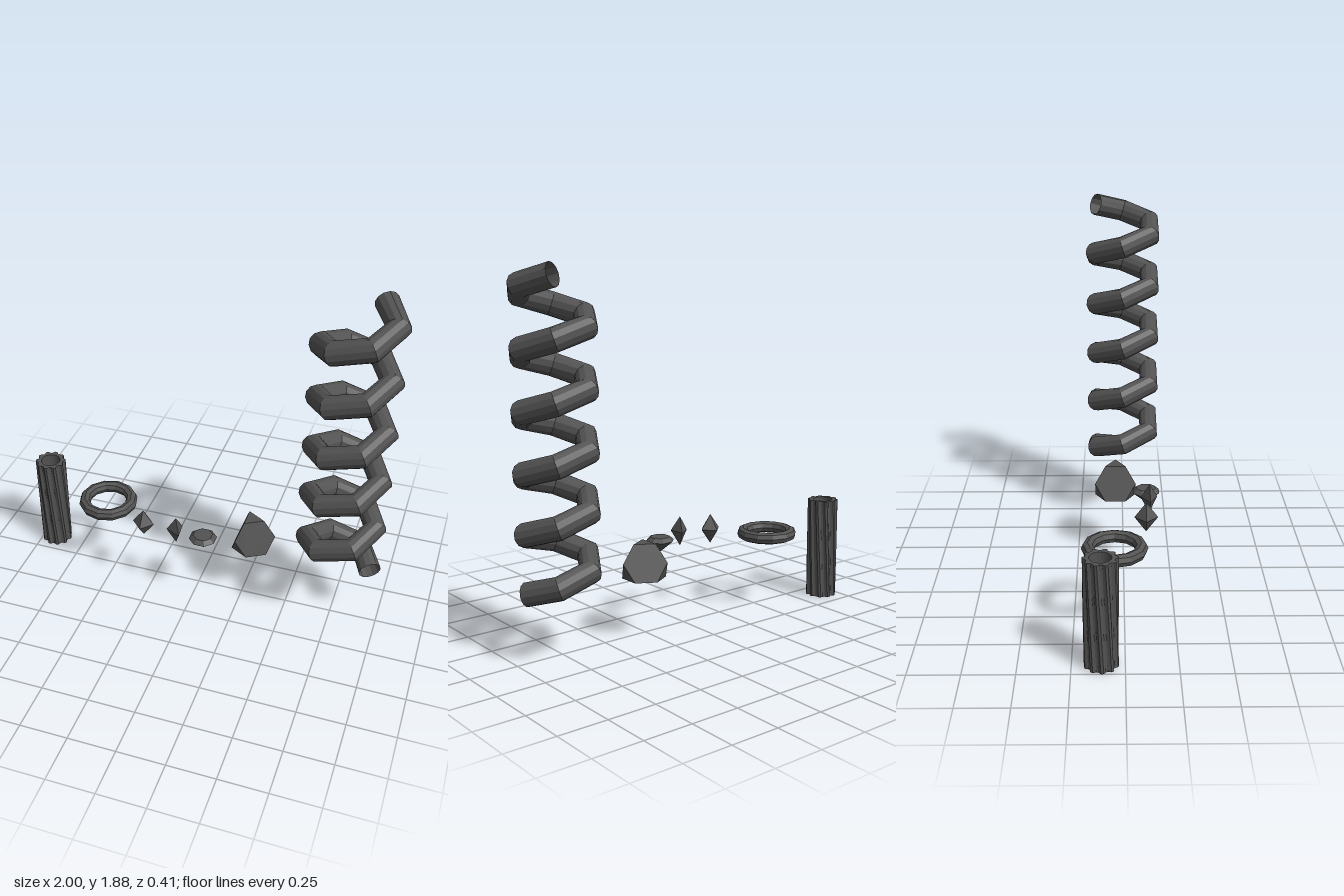
import * as THREE from 'three';
import { ConvexGeometry } from 'three/addons/geometries/ConvexGeometry.js';

const material = new THREE.MeshStandardMaterial({ color: 0x525252, flatShading: true });
const openMaterial = new THREE.MeshStandardMaterial({ color: 0x525252, flatShading: true, side: THREE.DoubleSide });

function part(name, geometry, x, y, z, mat = material) {
  const mesh = new THREE.Mesh(geometry, mat);
  mesh.name = name;
  mesh.position.set(x, y, z);
  return mesh;
}

// Faceted solid of revolution; profile runs from bottom to top
function faceted(profile, sides, turn = 0) {
  return new THREE.LatheGeometry(profile.map(([r, y]) => new THREE.Vector2(r, y)), sides, turn);
}

// Hollow fluted column, twisted along its height
function twistedColumn(height, outer, groove, inner, teeth, twist) {
  const shape = new THREE.Shape();
  const corners = teeth * 4;
  const outline = [];
  for (let i = 0; i < corners; i++) {
    const a = (i / corners) * Math.PI * 2;
    const r = i % 4 < 2 ? outer : groove;
    outline.push(new THREE.Vector2(r * Math.cos(a), r * Math.sin(a)));
  }
  shape.setFromPoints(outline);
  const hole = new THREE.Path();
  hole.absarc(0, 0, inner, 0, Math.PI * 2, true);
  shape.holes.push(hole);
  const geometry = new THREE.ExtrudeGeometry(shape, { depth: height, steps: 3, bevelEnabled: false, curveSegments: 10 });
  geometry.rotateX(-Math.PI / 2);
  const p = geometry.attributes.position;
  const v = new THREE.Vector3();
  const up = new THREE.Vector3(0, 1, 0);
  for (let i = 0; i < p.count; i++) {
    v.fromBufferAttribute(p, i);
    v.applyAxisAngle(up, twist * v.y / height);
    p.setXYZ(i, v.x, v.y, v.z);
  }
  geometry.computeVertexNormals();
  return geometry;
}

// Tetrahedron with every corner cut off a third of the way along its edges
function truncatedTetrahedron(edge) {
  const side = edge * 3;
  const tips = [new THREE.Vector3(0, side * Math.sqrt(2 / 3), 0)];
  for (let i = 0; i < 3; i++) {
    const a = (i / 3) * Math.PI * 2;
    tips.push(new THREE.Vector3(Math.cos(a), 0, Math.sin(a)).multiplyScalar(side / Math.sqrt(3)));
  }
  const points = [];
  for (const a of tips) for (const b of tips) {
    if (a !== b) points.push(a.clone().lerp(b, 1 / 3));
  }
  return new ConvexGeometry(points);
}

// Six-cornered spiral tube, open at both ends
function spiral(radius, rise, tube, segments) {
  const path = new THREE.CurvePath();
  const corner = (k) => {
    const a = (k * Math.PI) / 3;
    return new THREE.Vector3(radius * Math.cos(a), rise * k, -radius * Math.sin(a));
  };
  for (let k = 0; k < segments; k++) path.add(new THREE.LineCurve3(corner(k), corner(k + 1)));
  path.arcLengthDivisions = segments * 10;
  return new THREE.TubeGeometry(path, segments, tube, 12, false);
}

export function createModel() {
  const model = new THREE.Group();
  model.name = 'shapeCollection';

  model.add(part('twistedColumn', twistedColumn(0.553, 0.083, 0.071, 0.052, 10, -0.35), -0.917, 0, -0.112));

  const ring = new THREE.TorusGeometry(0.131, 0.032, 8, 12).rotateX(Math.PI / 2);
  model.add(part('ring', ring, -0.547, 0.405, -0.048));

  model.add(part('fourSidedCrystal', faceted([[0, -0.08], [0.06, 0], [0, 0.08]], 4), -0.277, 0.44, 0.112));
  model.add(part('threeSidedCrystal', faceted([[0, -0.08], [0.051, 0], [0, 0.08]], 3, -1.47), -0.084, 0.453, 0.134));

  // Cut gem: point, girdle, table
  const gem = faceted([[0, -0.063], [0.075, 0], [0.052, 0.021], [0, 0.021]], 8, Math.PI / 8);
  model.add(part('gem', gem, 0.062, 0.429, 0.12));

  model.add(part('truncatedTetrahedron', truncatedTetrahedron(0.111), 0.287, 0.309, -0.043));

  model.add(part('spiral', spiral(0.173, 0.048, 0.059, 31), 0.767, 0.34, 0, openMaterial));
  return model;
}
